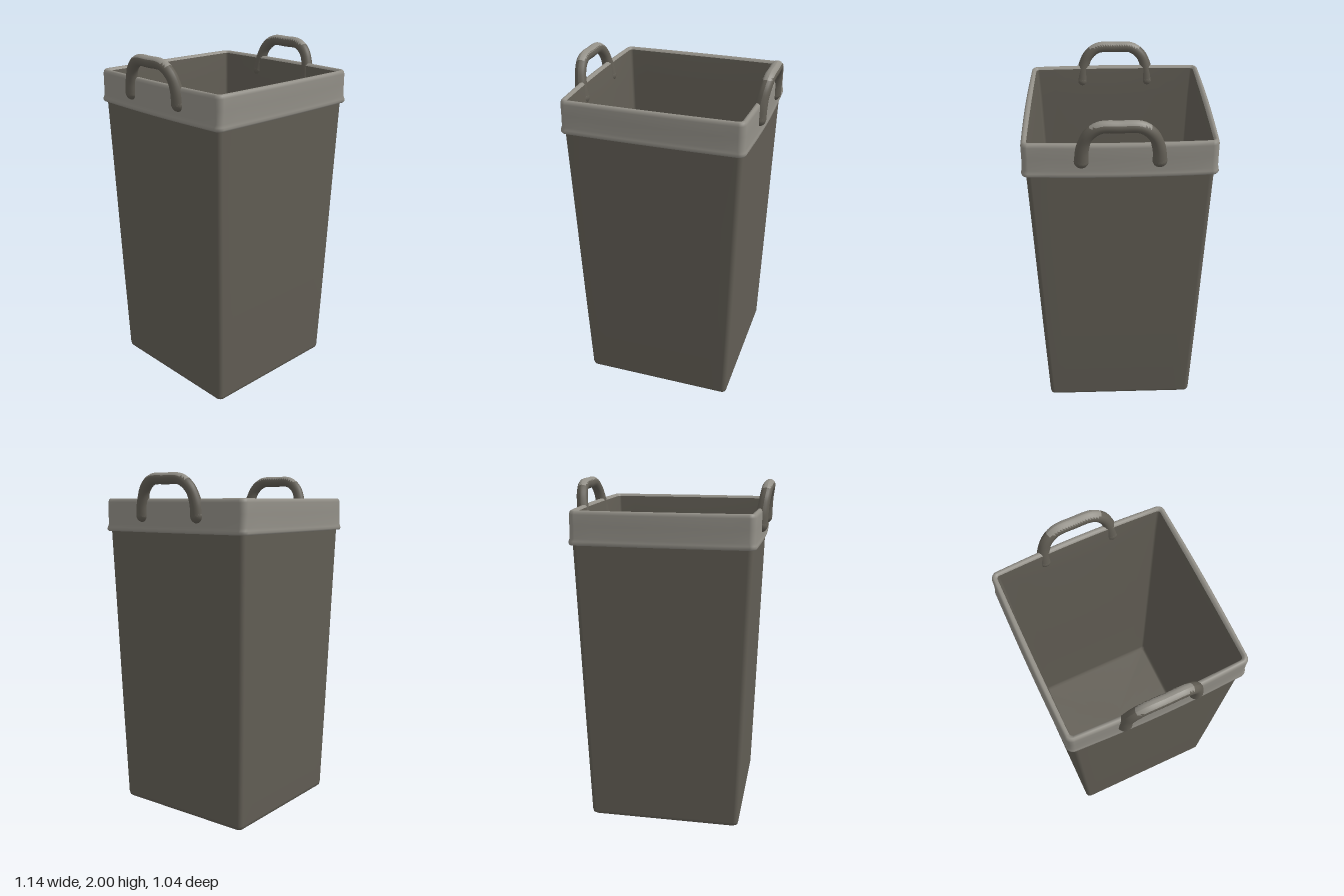
import * as THREE from 'three';

const darkGrey = new THREE.MeshStandardMaterial({ color: 0x625e55 });
darkGrey.name = 'darkGrey';
const lightGrey = new THREE.MeshStandardMaterial({ color: 0x928f87 });
lightGrey.name = 'lightGrey';

// Rounded rectangle at height y, with sides bowed out by bx and bz
function section([y, hx, hz, r, bx = 0, bz = 0]) {
  const pts = [], arc = 6, side = 10;
  const push = (x, z) => pts.push([
    x + bx * Math.sign(x) * Math.cos((z / (hz || 1)) * Math.PI / 2) * Math.min(1, Math.abs(x) / (hx || 1)) ** 8,
    y,
    z + bz * Math.sign(z) * Math.cos((x / (hx || 1)) * Math.PI / 2) * Math.min(1, Math.abs(z) / (hz || 1)) ** 8,
  ]);
  const signs = [[1, 1], [-1, 1], [-1, -1], [1, -1]];
  signs.forEach(([sx, sz], q) => {
    const cx = sx * (hx - r), cz = sz * (hz - r);
    let end;
    for (let i = 0; i <= arc; i++) {
      const a = (q + i / arc) * Math.PI / 2;
      end = [cx + r * Math.cos(a), cz + r * Math.sin(a)];
      push(...end);
    }
    const [nx, nz] = signs[(q + 1) % 4], b = (q + 1) * Math.PI / 2;
    const next = [nx * (hx - r) + r * Math.cos(b), nz * (hz - r) + r * Math.sin(b)];
    for (let i = 1; i < side; i++) {
      const t = i / side;
      push(end[0] + (next[0] - end[0]) * t, end[1] + (next[1] - end[1]) * t);
    }
  });
  return pts;
}

// Skin joining a stack of sections
function loft(name, rings, material) {
  const rows = rings.map(section), n = rows[0].length, index = [];
  for (let k = 0; k < rows.length - 1; k++) {
    for (let i = 0; i < n; i++) {
      const a = k * n + i, b = k * n + (i + 1) % n;
      index.push(a, a + n, b, b, a + n, b + n);
    }
  }
  const g = new THREE.BufferGeometry();
  g.setAttribute('position', new THREE.Float32BufferAttribute(rows.flat(2), 3));
  g.setIndex(index);
  g.computeVertexNormals();
  const mesh = new THREE.Mesh(g, material);
  mesh.name = name;
  return mesh;
}

// Bent tube handle, thicker at its feet, with a worn light strip on top
function makeHandle(name, sx) {
  const group = new THREE.Group();
  group.name = name;
  const half = [[0.512, 1.765, 0.2], [0.519, 1.84, 0.193], [0.529, 1.915, 0.165], [0.537, 1.963, 0.105]];
  const path = [...half, [0.539, 1.968, 0], ...half.map(([x, y, z]) => [x, y, -z]).reverse()];
  const curve = new THREE.CatmullRomCurve3(path.map(([x, y, z]) => new THREE.Vector3(sx * x, y, z)));
  const g = new THREE.TubeGeometry(curve, 48, 0.032, 14, false);
  const p = g.attributes.position, v = new THREE.Vector3();
  for (let i = 0; i < p.count; i++) {
    const u = Math.floor(i / 15) / 48, c = curve.getPointAt(u);
    const swell = 1 + 0.25 * Math.max(0, Math.abs(u - 0.5) * 2 - 0.65) / 0.35;
    v.fromBufferAttribute(p, i).sub(c).multiplyScalar(swell).add(c);
    p.setXYZ(i, v.x, v.y, v.z);
  }
  g.computeVertexNormals();

  // sort faces into upper bar strip and the rest
  const dark = [], light = [], idx = g.index.array;
  for (let i = 0; i < idx.length; i += 3) {
    const f = [idx[i], idx[i + 1], idx[i + 2]];
    const ny = f.reduce((s, j) => s + g.attributes.normal.getY(j), 0) / 3;
    const onBar = f.every(j => Math.abs(p.getZ(j)) < 0.16);
    (ny > 0.55 && onBar ? light : dark).push(...f);
  }
  g.setIndex([...dark, ...light]);
  g.clearGroups();
  g.addGroup(0, dark.length, 0);
  g.addGroup(dark.length, light.length, 1);
  const bar = new THREE.Mesh(g, [darkGrey, lightGrey]);
  bar.name = 'handleBar';
  group.add(bar);

  for (const sz of [-1, 1]) {
    const foot = new THREE.Mesh(new THREE.SphereGeometry(0.04, 16, 12), darkGrey);
    foot.name = 'handleFoot';
    foot.position.set(sx * 0.512, 1.768, sz * 0.2);
    group.add(foot);
  }
  return group;
}

export function createModel() {
  const model = new THREE.Group();
  model.name = 'bin';

  // Outer shell, from the base up to the rim: y, half width, half depth, corner
  model.add(loft('body', [
    [0, 0, 0, 0],
    [0, 0.425, 0.42, 0.02],
    [0.003, 0.436, 0.432, 0.024],
    [0.012, 0.446, 0.442, 0.027],
    [0.03, 0.45, 0.446, 0.028],
    [0.6, 0.467, 0.462, 0.028],
    [1.2, 0.484, 0.477, 0.028],
    [1.69, 0.498, 0.49, 0.028],
  ], darkGrey));

  // Folded collar with a lower bead and a rounded lip
  model.add(loft('rim', [
    [1.685, 0.49, 0.485, 0.03],
    [1.673, 0.502, 0.5, 0.03, 0.015, 0.005],
    [1.673, 0.51, 0.508, 0.032, 0.016, 0.006],
    [1.682, 0.515, 0.512, 0.034, 0.016, 0.006],
    [1.695, 0.514, 0.511, 0.034, 0.016, 0.006],
    [1.71, 0.509, 0.507, 0.034, 0.017, 0.007],
    [1.78, 0.508, 0.506, 0.034, 0.018, 0.008],
    [1.84, 0.508, 0.506, 0.034, 0.018, 0.008],
    [1.855, 0.504, 0.502, 0.032, 0.018, 0.008],
    [1.862, 0.496, 0.494, 0.026, 0.017, 0.007],
    [1.86, 0.486, 0.485, 0.02, 0.014, 0.005],
    [1.848, 0.48, 0.478, 0.016, 0.012, 0.003],
  ], lightGrey));

  // Inner walls and floor
  model.add(loft('lining', [
    [1.848, 0.48, 0.478, 0.016, 0.012, 0.003],
    [1.68, 0.473, 0.468, 0.016],
    [0.9, 0.45, 0.446, 0.016],
    [0.07, 0.428, 0.424, 0.016],
    [0.048, 0.423, 0.419, 0.016],
    [0.04, 0.41, 0.406, 0.014],
    [0.04, 0, 0, 0],
  ], darkGrey));

  model.add(makeHandle('leftHandle', 1), makeHandle('rightHandle', -1));
  return model;
}
